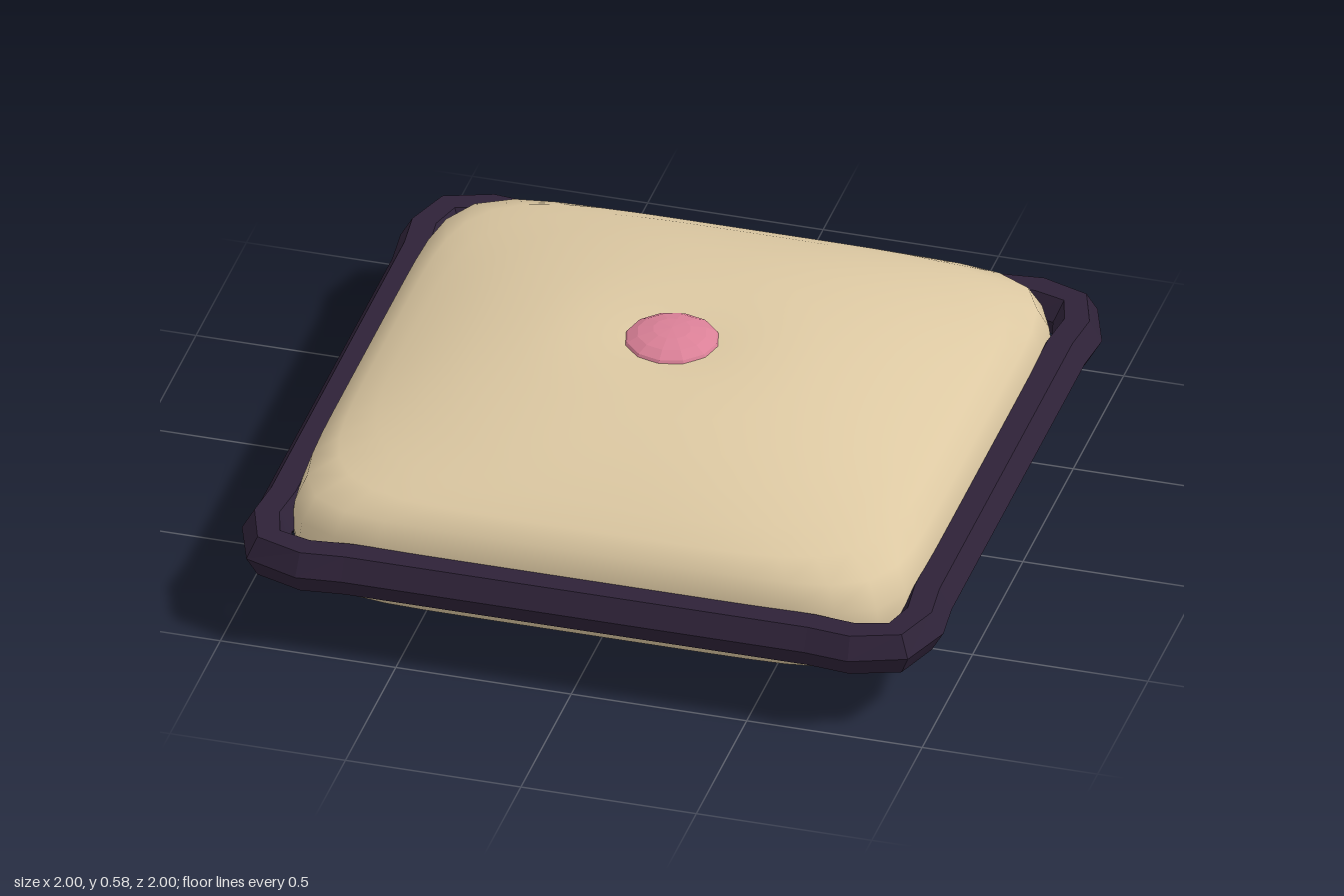
import * as THREE from 'three';

const fabric = new THREE.MeshStandardMaterial({ color: 0xdcc8a2 });
const trim = new THREE.MeshStandardMaterial({ color: 0x2e2238 });
const rose = new THREE.MeshStandardMaterial({ color: 0xda8097 });

// Skin rows of points; every row is a closed loop, rows run bottom to top.
function loft(rows) {
  const n = rows[0].length, index = [];
  for (let i = 0; i < rows.length - 1; i++) {
    for (let j = 0; j < n; j++) {
      const k = (j + 1) % n;
      const a = i * n + j, b = a + n, c = i * n + k, d = c + n;
      index.push(a, b, c, b, d, c);
    }
  }
  const g = new THREE.BufferGeometry();
  g.setAttribute('position', new THREE.Float32BufferAttribute(rows.flat(2), 3));
  g.setIndex(index);
  g.computeVertexNormals();
  return g;
}

function faceted(g) {
  const flat = g.toNonIndexed();
  flat.computeVertexNormals();
  return flat;
}

function add(group, name, geometry, material) {
  const mesh = new THREE.Mesh(geometry, material);
  mesh.name = name;
  group.add(mesh);
  return mesh;
}

// Rounded-square ring: n is the squareness (2 is a circle)
function squareRing(half, y, n) {
  const ring = [];
  for (let j = 0; j < 64; j++) {
    const t = (j / 64) * Math.PI * 2;
    const c = Math.cos(t), s = Math.sin(t);
    const r = half / Math.pow(Math.abs(c) ** n + Math.abs(s) ** n, 1 / n);
    ring.push([r * c, y, r * s]);
  }
  return ring;
}

// Stuffed body: half width, height, squareness
function cushionGeometry() {
  return loft([
    [0.001, 0.005, 2], [0.27, 0.011, 2.3], [0.53, 0.03, 2.8], [0.74, 0.063, 4],
    [0.81, 0.085, 5.5], [0.86, 0.113, 7.5], [0.883, 0.18, 9], [0.89, 0.245, 9.5],
    [0.885, 0.31, 9], [0.865, 0.38, 7.5], [0.81, 0.418, 5.5], [0.74, 0.453, 4],
    [0.64, 0.49, 3.2], [0.53, 0.522, 2.8], [0.4, 0.545, 2.5], [0.27, 0.56, 2.3],
    [0.13, 0.551, 2], [0.001, 0.54, 2],
  ].map(([half, y, n]) => squareRing(half, y, n)));
}

// Hexagonal cord following the seam, with slightly bulging corners
function pipingGeometry() {
  const side = [[0.917, -0.66], [0.93, -0.78], [0.893, -0.893], [0.78, -0.93], [0.66, -0.917]];
  const path = [];
  for (let q = 0; q < 4; q++) {
    const c = Math.round(Math.cos(q * Math.PI / 2)), s = Math.round(Math.sin(q * Math.PI / 2));
    for (const [x, z] of [...side].reverse()) path.push([x * c - z * s, x * s + z * c]);
  }
  const rows = [];
  for (let j = 0; j <= 6; j++) {
    const a = (j / 6) * Math.PI * 2;
    const out = 0.07 * Math.cos(a), up = 0.07 * Math.sin(a);
    rows.push(path.map(([x, z], i) => {
      const p = path[(i + path.length - 1) % path.length], q = path[(i + 1) % path.length];
      const dx = q[0] - p[0], dz = q[1] - p[1], len = Math.hypot(dx, dz);
      return [x + (dz / len) * out, 0.245 + up, z - (dx / len) * out];
    }));
  }
  return faceted(loft(rows));
}

export function createModel() {
  const group = new THREE.Group();
  group.name = 'cushion';
  add(group, 'cushionBody', cushionGeometry(), fabric);
  add(group, 'piping', pipingGeometry(), trim);

  // Flattened button sunk into the top
  const buttonGeometry = new THREE.SphereGeometry(0.137, 12, 8);
  buttonGeometry.scale(1, 0.36, 1);
  add(group, 'button', faceted(buttonGeometry), rose).position.y = 0.54;
  return group;
}
